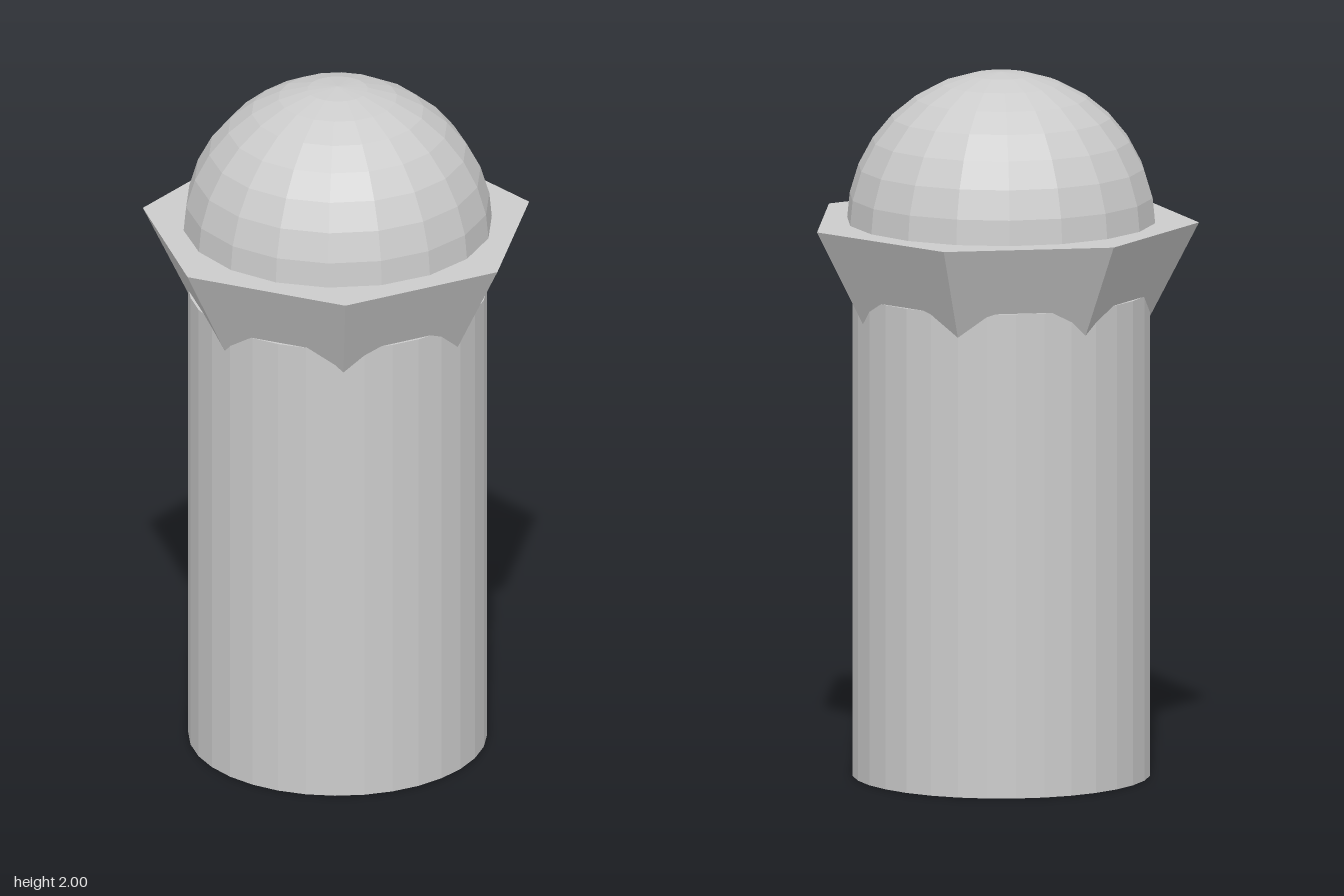
import * as THREE from 'three';

export function createModel() {
  const model = new THREE.Group();
  model.name = 'domedBolt';
  const material = new THREE.MeshStandardMaterial({ color: 0xcccccc, flatShading: true });

  // All parts share one vertical axis, slightly in front of the centre
  const axisZ = 0.028;
  const addPart = (name, geometry, y, turn = 0) => {
    const mesh = new THREE.Mesh(geometry, material);
    mesh.name = name;
    mesh.position.set(0, y, axisZ);
    mesh.rotation.y = turn;
    model.add(mesh);
  };

  // Round shaft
  const shaftHeight = 1.38;
  addPart('shaft', new THREE.CylinderGeometry(0.42, 0.42, shaftHeight, 32), shaftHeight / 2);

  // Seven-sided collar, flaring upward, with one corner to the back
  const collarTop = 1.577, collarBottom = 1.25;
  addPart('collar', new THREE.CylinderGeometry(0.557, 0.389, collarTop - collarBottom, 7),
    (collarTop + collarBottom) / 2, Math.PI);

  // Faceted dome, its rim sunk just below the collar top
  const domeRadius = 0.437;
  addPart('dome', new THREE.SphereGeometry(domeRadius, 18, 8, 0, Math.PI * 2, 0, Math.PI / 2),
    2 - domeRadius, Math.PI / 2);

  return model;
}
